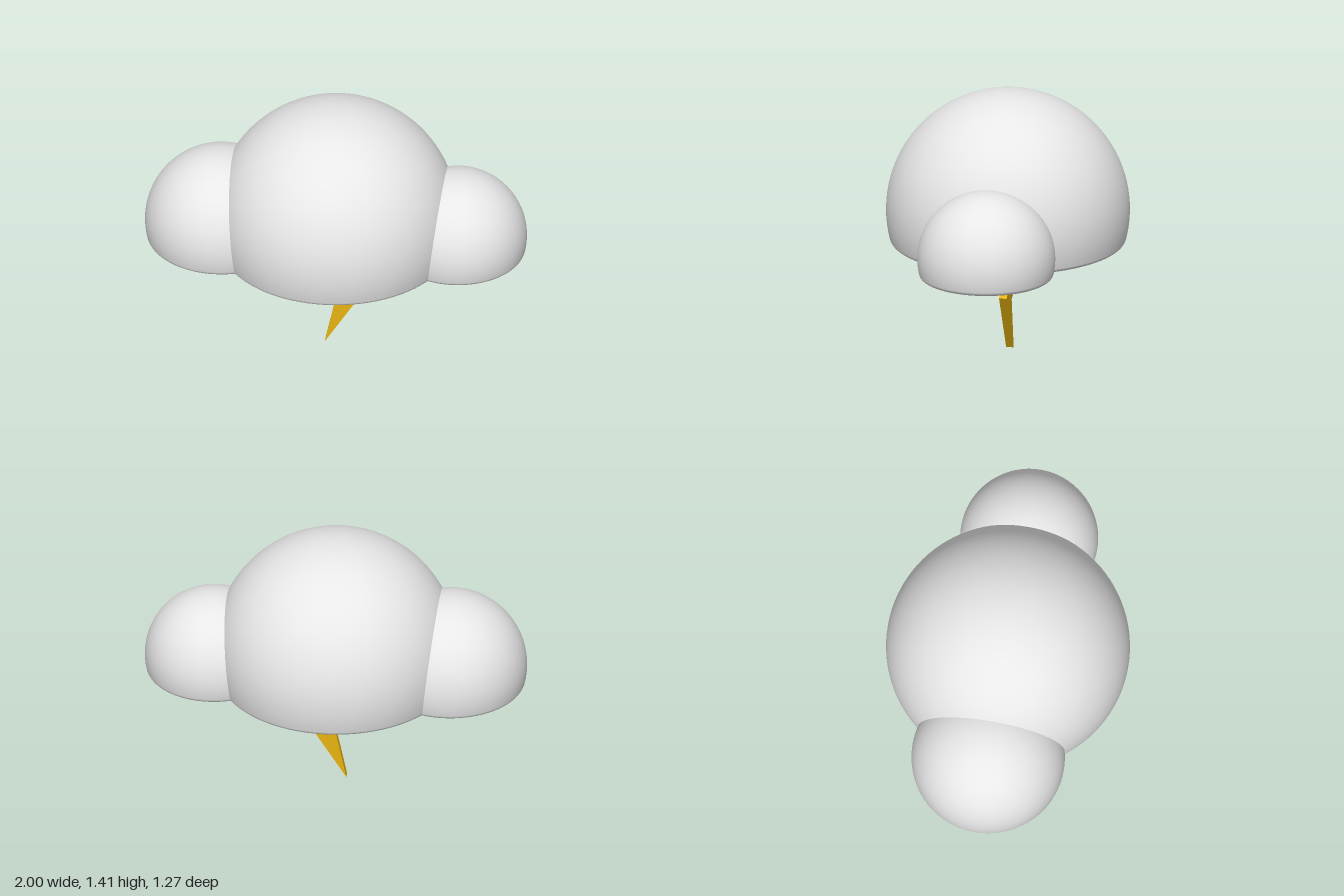
import * as THREE from 'three';

const BASE = 0.6; // height of the flat underside
const cloudGrey = new THREE.MeshStandardMaterial({ name: 'cloudGrey', color: 0xe9e9e9 });
const boltYellow = new THREE.MeshStandardMaterial({ name: 'boltYellow', color: 0xe8b411 });

// Sphere cut flat at the base, with a small rounded lower rim
function puff(name, x, y, radius, fillet) {
  const rimY = BASE + fillet;
  const rimR = Math.sqrt((radius - fillet) ** 2 - (y - rimY) ** 2);
  const join = Math.atan2(rimY - y, rimR);
  const points = [new THREE.Vector2(0, BASE), new THREE.Vector2(rimR - 0.005, BASE)];
  for (let i = 0; i <= 8; i++) {
    const a = THREE.MathUtils.lerp(-Math.PI / 2, join, i / 8);
    points.push(new THREE.Vector2(rimR + fillet * Math.cos(a), rimY + fillet * Math.sin(a)));
  }
  for (let i = 1; i <= 40; i++) {
    const a = THREE.MathUtils.lerp(join, Math.PI / 2, i / 40);
    points.push(new THREE.Vector2(Math.max(0, radius * Math.cos(a)), y + radius * Math.sin(a)));
  }
  const mesh = new THREE.Mesh(new THREE.LatheGeometry(points, 96), cloudGrey);
  mesh.name = name;
  mesh.position.x = x;
  return mesh;
}

export function createModel() {
  const model = new THREE.Group();
  model.name = 'stormCloud';

  // Cloud made of three overlapping puffs
  model.add(
    puff('middlePuff', 0, 0.775, 0.636, 0.03),
    puff('rightPuff', -0.6, 0.71, 0.4, 0.03),
    puff('leftPuff', 0.64, 0.7, 0.36, 0.03),
  );

  // Zigzag bolt, its top sunk slightly into the cloud
  const outline = [
    [-0.186, 0.62], [-0.184, 0.348], [0.003, 0.282], [-0.056, 0],
    [0.153, 0.33], [-0.01, 0.425], [0.046, 0.62],
  ];
  const shape = new THREE.Shape(outline.map(([x, y]) => new THREE.Vector2(x, y)));
  const geometry = new THREE.ExtrudeGeometry(shape, { depth: 0.04, bevelEnabled: false });
  geometry.translate(0, 0, -0.02);
  const bolt = new THREE.Mesh(geometry, boltYellow);
  bolt.name = 'lightningBolt';
  model.add(bolt);

  return model;
}
